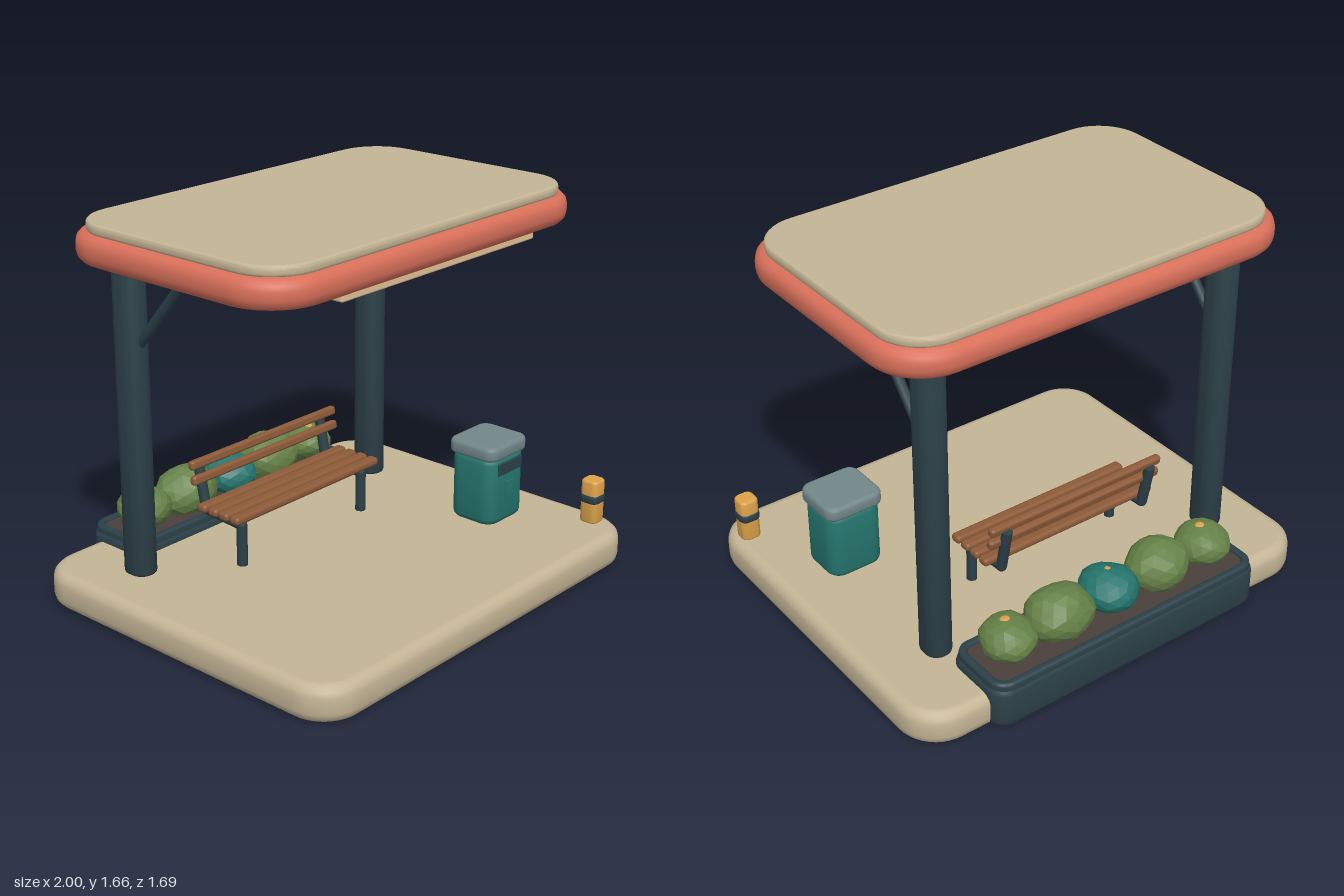
import * as THREE from 'three';
import { toCreasedNormals } from 'three/addons/utils/BufferGeometryUtils.js';
import { RoundedBoxGeometry } from 'three/addons/geometries/RoundedBoxGeometry.js';

const paint = (name, color) => {
  const m = new THREE.MeshStandardMaterial({ color });
  m.name = name;
  return m;
};

// Rounded rectangle outline centred on the origin
function outline(target, w, d, r) {
  const x = w / 2, y = d / 2;
  target.moveTo(-x + r, -y);
  target.lineTo(x - r, -y);
  target.absarc(x - r, -y + r, r, -Math.PI / 2, 0);
  target.lineTo(x, y - r);
  target.absarc(x - r, y - r, r, 0, Math.PI / 2);
  target.lineTo(-x + r, y);
  target.absarc(-x + r, y - r, r, Math.PI / 2, Math.PI);
  target.lineTo(-x, -y + r);
  target.absarc(-x + r, -y + r, r, Math.PI, Math.PI * 1.5);
  return target;
}

// Upright slab with rounded corners and rolled edges, standing on y = 0;
// a wall thickness turns it into an open ring
function slab(w, h, d, r, bevel, wall = 0) {
  const shape = outline(new THREE.Shape(), w - 2 * bevel, d - 2 * bevel, r - bevel);
  if (wall) {
    const inset = 2 * (wall - bevel);
    shape.holes.push(outline(new THREE.Path(), w - inset, d - inset, r - wall + bevel));
  }
  const geo = new THREE.ExtrudeGeometry(shape, {
    depth: h - 2 * bevel, bevelEnabled: true, bevelThickness: bevel, bevelSize: bevel,
    bevelSegments: 3, curveSegments: 5,
  });
  geo.rotateX(-Math.PI / 2).translate(0, bevel, 0);
  toCreasedNormals(geo, 0.7);
  // keep the flat caps perfectly flat
  const cap = geo.groups[0], n = geo.attributes.normal, p = geo.attributes.position;
  for (let i = cap.start; i < cap.start + cap.count; i++) n.setXYZ(i, 0, p.getY(i) > h / 2 ? 1 : -1, 0);
  geo.clearGroups();
  return geo;
}

// Lumpy faceted shrub
function shrub(rx, ry, rz, seed) {
  const geo = new THREE.IcosahedronGeometry(1, 2);
  const p = geo.attributes.position, v = new THREE.Vector3();
  for (let i = 0; i < p.count; i++) {
    v.fromBufferAttribute(p, i);
    const k = 0.97 + 0.05 * Math.sin(v.x * 4.1 + seed) * Math.cos(v.z * 3.7 - seed * 2 + v.y * 2.9);
    p.setXYZ(i, v.x * k * rx, v.y * k * ry, v.z * k * rz);
  }
  geo.computeVertexNormals();
  return geo;
}

export function createModel() {
  const model = new THREE.Group();
  const sand = paint('sand', 0xc4b595), coral = paint('coral', 0xd9705a);
  const dark = paint('dark slate', 0x2c4048), teal = paint('teal', 0x25756e);
  const grey = paint('lid grey', 0x728789), wood = paint('wood', 0x8c5a38);
  const leaf = paint('leaf green', 0x668248), soil = paint('soil', 0x4a403c);
  const amber = paint('amber', 0xdca24a), glow = paint('light cream', 0xe6c298);

  const add = (name, geo, mat, x = 0, y = 0, z = 0, parent = model) => {
    const mesh = new THREE.Mesh(geo, mat);
    mesh.name = name;
    mesh.position.set(x, y, z);
    parent.add(mesh);
    return mesh;
  };
  const group = (name) => {
    const g = new THREE.Group();
    g.name = name;
    model.add(g);
    return g;
  };
  // Round bars joined along a bent path of [z, y] points
  const bentBar = (name, points, x, r, parent) => {
    const pts = points.map(([z, y]) => new THREE.Vector3(x, y, z));
    for (let i = 1; i < pts.length; i++) {
      const dir = pts[i].clone().sub(pts[i - 1]);
      const bar = add(name, new THREE.CylinderGeometry(r, r, dir.length(), 10), dark, 0, 0, 0, parent);
      bar.position.copy(pts[i]).add(pts[i - 1]).multiplyScalar(0.5);
      bar.quaternion.setFromUnitVectors(new THREE.Vector3(0, 1, 0), dir.normalize());
      if (i < pts.length - 1) add(name + 'Joint', new THREE.SphereGeometry(r, 10, 8), dark, x, pts[i].y, pts[i].z, parent);
    }
  };

  // Ground platform with a small foot under the front left edge
  add('platform', slab(2, 0.155, 1.63, 0.18, 0.045), sand, 0, 0, 0.027);
  add('platformFoot', new RoundedBoxGeometry(0.05, 0.016, 0.09, 2, 0.006), dark, 0.955, 0.008, 0.685);

  // Roof, roof cap and light strip
  add('roof', slab(1.885, 0.12, 1.185, 0.24, 0.045), coral, -0.032, 1.5, -0.01);
  add('roofCap', slab(1.8, 0.045, 1.11, 0.2, 0.014), sand, -0.03, 1.615, -0.01);
  add('lightStrip', new RoundedBoxGeometry(1.16, 0.035, 0.062, 2, 0.008), glow, -0.015, 1.492, 0.52);

  // Posts with bent braces
  for (const x of [-0.74, 0.694]) {
    const post = group('post');
    add('postColumn', slab(0.118, 1.36, 0.136, 0.055, 0.014), dark, x, 0.15, -0.425, post);
    bentBar('brace', [[-0.39, 1.13], [-0.1, 1.47], [0.25, 1.525]], x, 0.021, post);
  }

  // Bench: cantilevered frames, four seat slats and two back slats
  const bench = group('bench');
  for (const x of [-0.423, 0.32]) {
    bentBar('benchFrame', [[-0.152, 0.15], [-0.152, 0.335], [-0.36, 0.348], [-0.4, 0.545]], x, 0.023, bench);
  }
  const slat = new RoundedBoxGeometry(0.885, 0.037, 0.052, 3, 0.016);
  for (const z of [-0.133, -0.196, -0.259, -0.322]) add('seatSlat', slat, wood, -0.05, 0.377, z, bench);
  for (const [y, z] of [[0.487, -0.368], [0.552, -0.378]]) {
    add('backSlat', slat, wood, -0.05, y, z, bench).rotation.x = Math.PI / 2 - 0.18;
    bench.children.at(-1).scale.z = 0.78;
  }

  // Litter bin
  const bin = group('litterBin');
  add('binBody', slab(0.255, 0.31, 0.235, 0.065, 0.028), teal, 0.666, 0.153, 0.284, bin);
  add('binLid', slab(0.27, 0.066, 0.25, 0.05, 0.018), grey, 0.668, 0.453, 0.282, bin);
  add('binSlot', new RoundedBoxGeometry(0.165, 0.056, 0.016, 2, 0.006), dark, 0.668, 0.412, 0.4, bin);
  add('binPanel', new THREE.BoxGeometry(0.065, 0.07, 0.008), teal, 0.667, 0.31, 0.404, bin);

  // Bollard with a dark band
  const bollard = group('bollard');
  add('bollardPost', slab(0.086, 0.2, 0.086, 0.028, 0.012), amber, 0.912, 0.15, 0.674, bollard);
  add('bollardBand', slab(0.092, 0.04, 0.092, 0.03, 0.008), dark, 0.912, 0.245, 0.674, bollard);

  // Planter trough overlapping the back edge of the platform
  const planter = group('planter');
  add('planterBox', slab(1.36, 0.19, 0.335, 0.08, 0.03), dark, 0.015, 0.005, -0.678, planter);
  add('planterRim', slab(1.34, 0.07, 0.32, 0.075, 0.012, 0.035), dark, 0.015, 0.148, -0.678, planter);
  add('planterSoil', slab(1.28, 0.03, 0.26, 0.05, 0.004), soil, 0.015, 0.175, -0.678, planter);

  // Shrubs: [x, half width, half height, half depth, material, blossom radius]
  const shrubs = [
    [-0.492, 0.122, 0.088, 0.125, leaf, 0.031],
    [-0.245, 0.152, 0.115, 0.13, leaf, 0],
    [0.01, 0.128, 0.093, 0.135, teal, 0.026],
    [0.265, 0.156, 0.117, 0.13, leaf, 0],
    [0.52, 0.12, 0.088, 0.125, leaf, 0.031],
  ];
  shrubs.forEach(([x, rx, ry, rz, mat, bloom], i) => {
    add('shrub', shrub(rx, ry, rz, i * 1.7), mat, x, 0.287, -0.668, planter);
    if (bloom) add('blossom', new THREE.SphereGeometry(bloom, 10, 8), amber, x, 0.273 + ry - bloom * 0.35, -0.655, planter).scale.y = 0.8;
  });

  return model;
}
